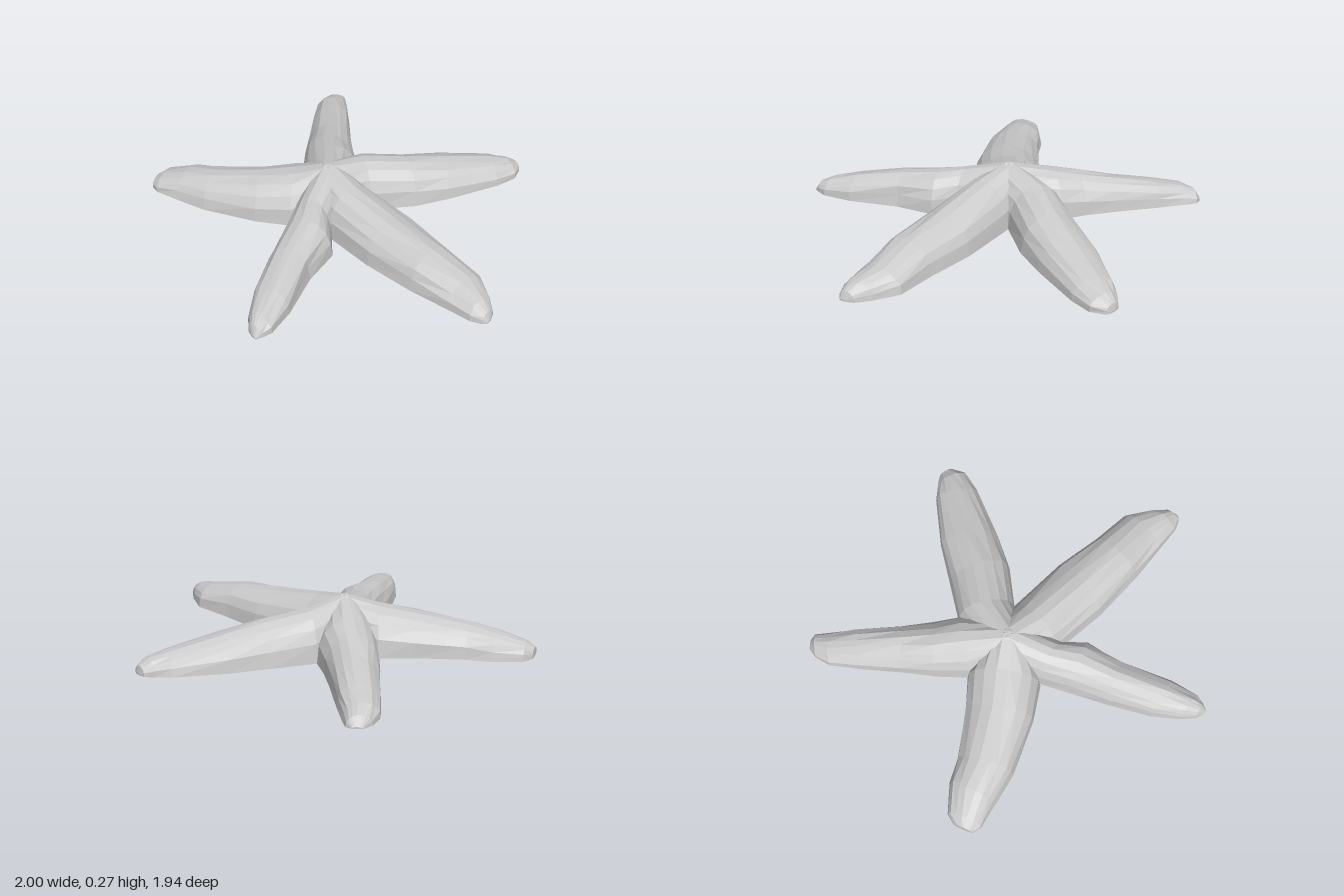
import * as THREE from 'three';

// Centre of the body, where all arms meet under the highest point
const CENTRE = { x: -0.2, z: 0.05, h: 0.274 };
const SIDES = 9; // facets across an arm

// Each arm: stations going outward, [left x, left z, right x, right z, ridge height]
const ARMS = {
  leftArm: [
    [-0.03, -0.1, 0, 0.22, 0.235], [0.3, -0.13, 0.3, 0.215, 0.187], [0.55, -0.12, 0.58, 0.18, 0.157],
    [0.77, -0.125, 0.8, 0.135, 0.108], [0.9, -0.06, 0.93, 0.11, 0.08], [0.97, -0.01, 0.985, 0.08, 0.05],
    [0.995, 0.03, 1, 0.06, 0.01]],
  frontLeftArm: [
    [0.03, 0.22, -0.2, 0.29, 0.218], [0.13, 0.3, -0.1, 0.45, 0.195], [0.2, 0.5, 0, 0.61, 0.165],
    [0.33, 0.73, 0.13, 0.8, 0.12], [0.385, 0.88, 0.23, 0.905, 0.08], [0.38, 0.93, 0.3, 0.955, 0.055],
    [0.37, 0.965, 0.34, 0.967, 0.01]],
  frontRightArm: [
    [-0.2, 0.31, -0.46, 0.03, 0.225], [-0.35, 0.43, -0.58, 0.16, 0.19], [-0.61, 0.58, -0.77, 0.33, 0.145],
    [-0.78, 0.64, -0.88, 0.4, 0.115], [-0.9, 0.68, -0.99, 0.52, 0.075], [-0.955, 0.675, -1, 0.58, 0.045],
    [-0.97, 0.65, -0.995, 0.6, 0.01]],
  backRightArm: [
    [-0.46, 0.03, -0.3, -0.24, 0.225], [-0.58, -0.08, -0.42, -0.31, 0.19], [-0.7, -0.21, -0.55, -0.4, 0.155],
    [-0.86, -0.37, -0.75, -0.55, 0.115], [-0.97, -0.49, -0.87, -0.635, 0.08], [-1, -0.57, -0.925, -0.67, 0.055],
    [-0.995, -0.63, -0.96, -0.665, 0.01]],
  backArm: [
    [-0.3, -0.24, -0.03, -0.1, 0.235], [-0.2, -0.44, 0.1, -0.3, 0.195], [-0.1, -0.64, 0.17, -0.48, 0.155],
    [0.05, -0.87, 0.255, -0.76, 0.1], [0.11, -0.93, 0.27, -0.88, 0.075], [0.15, -0.965, 0.235, -0.955, 0.045],
    [0.18, -0.97, 0.215, -0.965, 0.01]],
};

// Small seeded generator for the uneven skin
function seeded(seed) {
  return () => (seed = (seed * 16807) % 2147483647) / 2147483647 - 0.5;
}

// Stations that carry an arm into the body, buried in its neighbours
function rootStations([lx, lz, rx, rz]) {
  const dx = (lx + rx) / 2 - CENTRE.x, dz = (lz + rz) / 2 - CENTRE.z;
  const len = Math.hypot(dx, dz), ux = dx / len, uz = dz / len;
  return [[-0.1, 0.05, 0.19], [0, 0.12, CENTRE.h]].map(([along, half, h]) => {
    const x = CENTRE.x + ux * along, z = CENTRE.z + uz * along;
    return [x + uz * half, z - ux * half, x - uz * half, z + ux * half, h];
  });
}

// Domed cross-sections with a flat underside, skinned along the arm
function armGeometry(arm, random) {
  const stations = [...rootStations(arm[0]), ...arm];
  const ring = SIDES + 1, last = stations.length - 1;
  const positions = [], index = [];
  stations.forEach(([lx, lz, rx, rz, h], i) => {
    for (let k = 0; k < ring; k++) {
      const a = (Math.PI * k) / SIDES;
      const t = (1 - Math.cos(a)) / 2;
      const rough = i > 2 && i < last - 1 && k > 0 && k < SIDES ? 0.012 : 0;
      positions.push(
        lx + (rx - lx) * t + random() * rough,
        k === 0 || k === SIDES ? 0 : h * Math.sin(a) ** 0.8 + random() * rough * 0.6,
        lz + (rz - lz) * t + random() * rough);
    }
  });
  for (let i = 0; i < last; i++) {
    for (let k = 0; k < ring; k++) {
      const k2 = (k + 1) % ring;
      const a = i * ring + k, b = i * ring + k2, c = a + ring, d = b + ring;
      index.push(a, b, c, b, d, c);
    }
  }
  // Close both ends
  for (let k = 1; k < ring - 1; k++) {
    const e = last * ring;
    index.push(0, k + 1, k, e, e + k, e + k + 1);
  }
  const geometry = new THREE.BufferGeometry();
  geometry.setAttribute('position', new THREE.Float32BufferAttribute(positions, 3));
  geometry.setIndex(index);
  geometry.computeVertexNormals();
  return geometry;
}

export function createModel() {
  const group = new THREE.Group();
  group.name = 'starfish';
  const material = new THREE.MeshStandardMaterial({ color: 0xcccccc, flatShading: true });
  const random = seeded(4711);
  for (const [name, arm] of Object.entries(ARMS)) {
    const mesh = new THREE.Mesh(armGeometry(arm, random), material);
    mesh.name = name;
    group.add(mesh);
  }
  return group;
}
